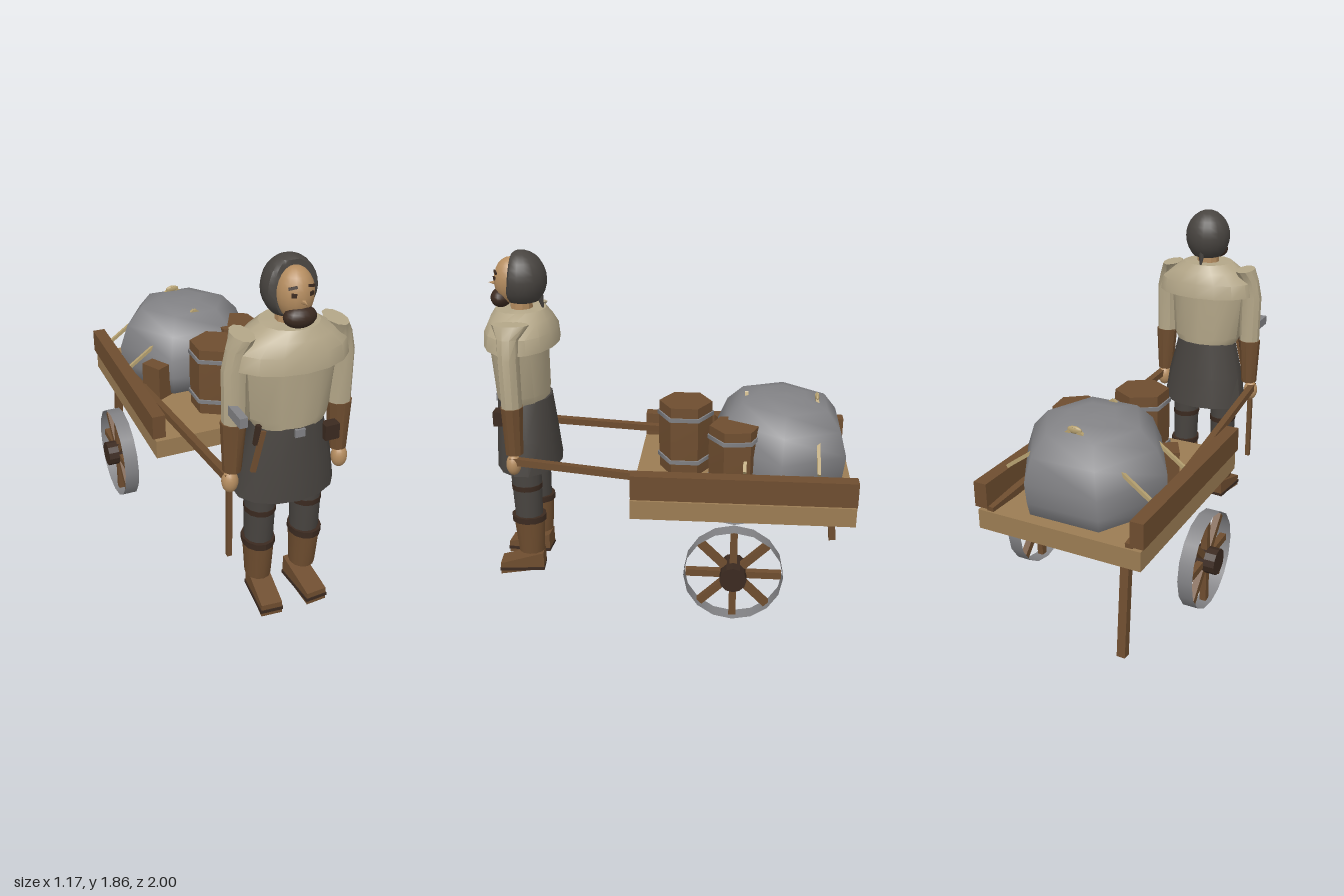
import * as THREE from 'three';
import { toCreasedNormals } from 'three/addons/utils/BufferGeometryUtils.js';

const material = (name, color, side = THREE.FrontSide) =>
  new THREE.MeshStandardMaterial({ name, color, side });

export function createModel() {
  const cream = material('cream cloth', 0xb3a688);
  const tan = material('pale wood', 0x9b7c53);
  const brown = material('brown wood and leather', 0x6e4d2f);
  const dark = material('dark leather', 0x3b2a20);
  const charcoal = material('charcoal cloth', 0x484440);
  const grey = material('grey iron and canvas', 0x828285, THREE.DoubleSide);
  const skin = material('skin', 0xb58d60);
  const rope = material('rope', 0xb5a070);

  const model = new THREE.Group();
  model.name = 'carterWithHandcart';
  const cart = new THREE.Group();
  cart.name = 'handcart';
  const person = new THREE.Group();
  person.name = 'carter';
  model.add(cart, person);

  const add = (parent, name, geo, mat, x = 0, y = 0, z = 0) => {
    const m = new THREE.Mesh(geo, mat);
    m.name = name;
    m.position.set(x, y, z);
    parent.add(m);
    return m;
  };
  const box = (parent, name, mat, w, h, d, x, y, z) =>
    add(parent, name, new THREE.BoxGeometry(w, h, d), mat, x, y, z);
  const ball = (parent, name, mat, rx, ry, rz, x, y, z) =>
    add(parent, name, new THREE.SphereGeometry(1, 16, 12).scale(rx, ry, rz), mat, x, y, z);

  // Square bar between two points
  const bar = (parent, name, mat, a, b, w, d = w) => {
    const p = new THREE.Vector3(...a), q = new THREE.Vector3(...b);
    const m = add(parent, name, new THREE.BoxGeometry(w, p.distanceTo(q), d), mat);
    m.position.copy(p).add(q).multiplyScalar(0.5);
    m.quaternion.setFromUnitVectors(new THREE.Vector3(0, 1, 0), q.sub(p).normalize());
    return m;
  };

  // Closed body through elliptical rings [y, cx, cz, rx, rz], lowest first
  const loft = (parent, name, mat, rings, sides = 14) => {
    const n = rings.length - 1;
    const g = new THREE.CylinderGeometry(1, 1, 1, sides, n);
    const p = g.attributes.position;
    for (let i = 0; i < p.count; i++) {
      const [y, cx, cz, rx, rz] = rings[Math.round((p.getY(i) + 0.5) * n)];
      p.setXYZ(i, cx + p.getX(i) * rx, y, cz + p.getZ(i) * rz);
    }
    return add(parent, name, toCreasedNormals(g, 0.6), mat);
  };

  // Cart bed, rails, handles and rear prop
  box(cart, 'bed', tan, 0.9, 0.105, 1.175, 0, 0.597, -0.4125);
  for (const s of [-1, 1]) {
    box(cart, 'sideRail', brown, 0.072, 0.135, 1.17, s * 0.43, 0.732, -0.415);
    bar(cart, 'handle', brown, [s * 0.385, 0.655, -0.99], [s * 0.305, 0.79, 0.83], 0.038);
  }
  bar(cart, 'propLeg', brown, [-0.34, 0.57, -0.925], [-0.34, 0.025, -0.98], 0.045, 0.042);

  // Wheels
  for (const s of [-1, 1]) {
    const wheel = new THREE.Group();
    wheel.name = 'wheel';
    wheel.position.set(s * 0.51, 0.28, -0.375);
    cart.add(wheel);
    add(wheel, 'rim', new THREE.CylinderGeometry(0.26, 0.26, 0.08, 16, 1, true).rotateZ(Math.PI / 2), grey);
    add(wheel, 'hub', toCreasedNormals(new THREE.CylinderGeometry(0.07, 0.07, 0.155, 12).rotateZ(Math.PI / 2), 0.4), dark);
    for (let i = 0; i < 4; i++) {
      box(wheel, 'spoke', brown, 0.035, 0.5, 0.038, 0, 0, 0).rotation.x = (i * Math.PI) / 4;
    }
  }

  // Six-sided barrels with iron hoops
  const barrel = (x, z, r, h, turn) => {
    const b = new THREE.Group();
    b.name = 'barrel';
    b.position.set(x, 0.65, z);
    b.rotation.y = turn;
    cart.add(b);
    loft(b, 'staves', brown, [[0, 0, 0, r * 0.95, r * 0.95], [h / 2, 0, 0, r, r], [h, 0, 0, r * 0.97, r * 0.97]], 6);
    for (const t of [0.2, 0.83]) {
      add(b, 'hoop', new THREE.CylinderGeometry(r * 1.04, r * 1.04, 0.022, 6), grey, 0, h * t, 0);
    }
  };
  barrel(0, -0.09, 0.15, 0.395, 0);
  barrel(0.24, -0.365, 0.14, 0.36, 0.12);
  box(cart, 'smallCrate', brown, 0.13, 0.2, 0.13, -0.26, 0.75, -0.33).rotation.y = 0.5;

  // Bulging covered load, slightly higher at the front
  const sackProfile = [[0, 0], [0.38, 0], [0.395, 0.1], [0.4, 0.21], [0.35, 0.34], [0.26, 0.435], [0.13, 0.465], [0, 0.47]];
  const sack = add(cart, 'coveredLoad', new THREE.LatheGeometry(
    sackProfile.map(([r, y]) => new THREE.Vector2(r, y)), 6, Math.PI / 2), grey, 0, 0.64, -0.595);
  sack.rotation.x = -0.07;
  for (const z of [-0.8, -0.42]) {
    for (const s of [-1, 1]) {
      bar(cart, 'loadRope', rope, [s * 0.4, 0.81, z], [0, 1.1, z], 0.018);
    }
  }
  ball(cart, 'ropeKnot', rope, 0.04, 0.02, 0.012, 0, 1.09, -0.8);

  // Torso, shoulder cape and skirt
  loft(person, 'skirt', charcoal, [
    [0.67, 0, 0.79, 0.262, 0.18], [0.85, 0, 0.795, 0.235, 0.167], [1.065, 0, 0.8, 0.18, 0.15]]);
  loft(person, 'tunic', cream, [
    [1.055, 0, 0.805, 0.185, 0.142], [1.1, 0, 0.805, 0.21, 0.145], [1.42, 0, 0.815, 0.235, 0.155]]);
  loft(person, 'shoulderCape', cream, [
    [1.37, 0, 0.795, 0.3, 0.2], [1.45, 0, 0.795, 0.285, 0.193],
    [1.51, 0, 0.795, 0.215, 0.165], [1.555, 0, 0.795, 0.145, 0.135]], 16);
  box(person, 'buckle', grey, 0.05, 0.04, 0.02, -0.003, 1.043, 0.95);
  box(person, 'beltPouch', dark, 0.075, 0.08, 0.055, 0.182, 0.99, 0.905);
  bar(person, 'knife', brown, [-0.165, 1.06, 0.9], [-0.215, 0.85, 0.9], 0.026, 0.015);
  bar(person, 'knifeGrip', dark, [-0.185, 1.09, 0.89], [-0.2, 0.99, 0.89], 0.022);

  // Arms and legs
  for (const s of [-1, 1]) {
    loft(person, 'sleeve', cream, [
      [1.08, s * 0.274, 0.81, 0.06, 0.056], [1.36, s * 0.274, 0.81, 0.062, 0.058],
      [1.46, s * 0.257, 0.81, 0.057, 0.062], [1.525, s * 0.235, 0.8, 0.05, 0.1]], 10);
    loft(person, 'bracer', brown, [
      [0.825, s * 0.283, 0.81, 0.046, 0.048], [1.09, s * 0.277, 0.81, 0.064, 0.06]], 10);
    ball(person, 'hand', skin, 0.042, 0.06, 0.04, s * 0.295, 0.765, 0.815);

    const x = s * 0.125;
    loft(person, 'trouserLeg', charcoal, [
      [0.36, x * 1.02, 0.79, 0.072, 0.078], [0.72, x, 0.795, 0.08, 0.09]], 12);
    loft(person, 'kneeStrap', dark, [
      [0.548, x, 0.793, 0.08, 0.087], [0.578, x, 0.793, 0.081, 0.088]], 12);
    loft(person, 'boot', brown, [
      [0.15, x * 1.01, 0.787, 0.066, 0.074], [0.365, x * 1.03, 0.79, 0.079, 0.09]], 12);
    loft(person, 'bootCuff', dark, [
      [0.35, x * 1.04, 0.79, 0.084, 0.098], [0.385, x * 1.04, 0.79, 0.084, 0.098]], 12);

    // Wedge shoe with a dark sole
    const foot = new THREE.Group();
    foot.name = 'foot';
    foot.position.set(s * 0.112, 0, 0.79);
    foot.rotation.y = s * 0.08;
    person.add(foot);
    const wedge = (name, mat, pts, width) => {
      const shape = new THREE.Shape(pts.map(([z, y]) => new THREE.Vector2(z, y)));
      const g = new THREE.ExtrudeGeometry(shape, { depth: width, bevelEnabled: false });
      add(foot, name, g.rotateY(-Math.PI / 2), mat, width / 2, 0, 0);
    };
    wedge('shoe', brown, [[-0.07, 0.035], [0.18, 0.004], [0.18, 0.072], [-0.07, 0.138]], 0.11);
    wedge('sole', dark, [[-0.072, 0.03], [0.184, 0.025], [0.184, 0.042], [-0.072, 0.047]], 0.12);
  }

  // Hammer carried in one hand
  box(person, 'hammerShaft', brown, 0.026, 0.86, 0.026, -0.297, 0.75, 0.81);
  box(person, 'hammerHead', grey, 0.04, 0.05, 0.18, -0.299, 1.175, 0.89);

  // Head with a hood cut flat around the face
  loft(person, 'neck', skin, [[1.53, 0, 0.79, 0.065, 0.06], [1.64, 0, 0.79, 0.065, 0.06]], 10);
  const hoodGeo = new THREE.SphereGeometry(1, 18, 14).scale(0.13, 0.15, 0.13);
  const hp = hoodGeo.attributes.position;
  for (let i = 0; i < hp.count; i++) {
    hp.setZ(i, Math.min(hp.getZ(i), 0.06 - hp.getY(i) * 0.12));
    hp.setY(i, Math.max(hp.getY(i), -0.125));
  }
  add(person, 'hood', toCreasedNormals(hoodGeo, 0.7), charcoal, 0, 1.71, 0.778);
  const tail = add(person, 'hoodTail', new THREE.ConeGeometry(0.03, 0.16, 6).rotateX(Math.PI), charcoal, 0, 1.6, 0.685);
  tail.rotation.x = 0.2;
  ball(person, 'face', skin, 0.09, 0.125, 0.092, 0, 1.7, 0.837);
  ball(person, 'beard', dark, 0.08, 0.052, 0.055, 0, 1.607, 0.897);
  add(person, 'nose', new THREE.ConeGeometry(0.017, 0.05, 5).rotateX(Math.PI / 2), skin, 0, 1.685, 0.937);
  for (const s of [-1, 1]) {
    box(person, 'eye', dark, 0.024, 0.018, 0.009, s * 0.042, 1.718, 0.917).rotation.y = s * 0.45;
    box(person, 'eyebrow', dark, 0.04, 0.013, 0.009, s * 0.045, 1.75, 0.908).rotation.set(-0.3, s * 0.5, -s * 0.12);
  }
  return model;
}
